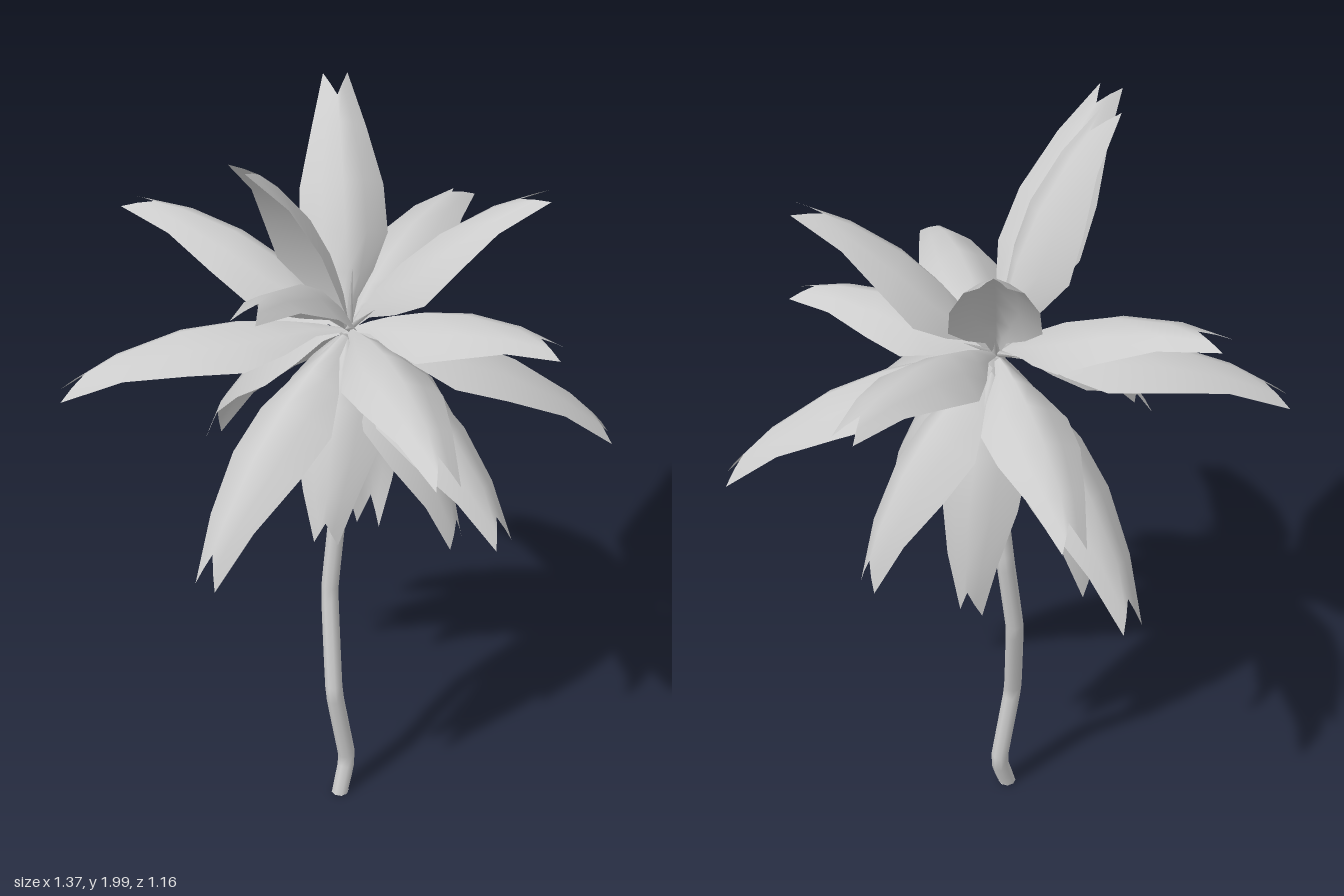
import * as THREE from 'three';

const material = new THREE.MeshStandardMaterial({ color: 0xcccccc, side: THREE.DoubleSide });
const CROWN = new THREE.Vector3(0.02, 1.44, -0.06);
const UP = new THREE.Vector3(0, 1, 0);

// tip position of every frond, from the steepest upright ones to the hanging ones
const FROND_TIPS = [
  [-0.26, 2.0, 0.11], [0.06, 1.92, -0.485], [-0.31, 1.84, 0.505], [0.48, 1.82, 0.03],
  [-0.475, 1.67, -0.39], [0.4, 1.55, -0.515], [0.495, 1.48, 0.195], [0.137, 1.4, 0.585],
  [-0.69, 1.3, -0.11], [-0.12, 1.24, -0.575], [0.69, 1.08, -0.02], [0.34, 1.03, 0.33],
  [-0.4, 0.99, 0.32], [-0.08, 0.97, 0.175], [0.265, 0.91, 0.145], [0.36, 0.9, -0.255],
  [-0.28, 0.9, -0.47], [-0.205, 0.83, -0.235], [0.1, 0.75, -0.205],
];

// half width along the frond: [position, half width]
const OUTLINE = [
  [0, 0.006], [0.1, 0.025], [0.2, 0.068], [0.35, 0.108],
  [0.55, 0.102], [0.78, 0.067], [1, 0.03],
];

// arched blade lofted along a bent midrib, ending in two prongs
function frondGeometry(tip) {
  const chord = tip.clone().sub(CROWN);
  const length = chord.length();
  const side = new THREE.Vector3(chord.z, 0, -chord.x).normalize();
  const bow = new THREE.Vector3().crossVectors(chord, side).normalize();
  const rise = chord.y / length;
  const bend = length * (0.27 - 0.06 * Math.abs(rise));
  const control = CROWN.clone().addScaledVector(chord, 0.5).addScaledVector(bow, bend);
  const midrib = new THREE.QuadraticBezierCurve3(CROWN, control, tip);

  const columns = [-1, -0.5, 0, 0.5, 1];
  const n = columns.length;
  const positions = [];
  const index = [];
  OUTLINE.forEach(([t, half], row) => {
    for (const u of columns) {
      // the middle of the last row is pulled back to form the notch
      const notch = row === OUTLINE.length - 1 ? 0.11 * (1 - Math.abs(u)) : 0;
      const s = t - notch;
      const normal = new THREE.Vector3().crossVectors(midrib.getTangent(s), side).normalize();
      const drop = half * (0.9 - 0.5 * t) * Math.pow(Math.abs(u), 1.4);
      const p = midrib.getPoint(s)
        .addScaledVector(side, u * half)
        .addScaledVector(normal, -drop);
      positions.push(p.x, p.y, p.z);
    }
  });
  for (let r = 0; r < OUTLINE.length - 1; r++) {
    for (let c = 0; c < n - 1; c++) {
      const a = r * n + c;
      index.push(a, a + n, a + 1, a + 1, a + n, a + n + 1);
    }
  }
  const geometry = new THREE.BufferGeometry();
  geometry.setAttribute('position', new THREE.Float32BufferAttribute(positions, 3));
  geometry.setIndex(index);
  geometry.computeVertexNormals();
  return geometry;
}

function addMesh(parent, name, geometry) {
  const mesh = new THREE.Mesh(geometry, material);
  mesh.name = name;
  parent.add(mesh);
  return mesh;
}

export function createModel() {
  const palm = new THREE.Group();
  palm.name = 'palmTree';

  // slender crooked trunk, its lowest ring levelled with the ground
  const path = new THREE.CatmullRomCurve3([
    [-0.01, 0, -0.02], [0.013, 0.1, -0.042], [-0.024, 0.34, -0.028], [-0.022, 0.62, -0.105],
    [0.003, 0.85, -0.125], [0.035, 1.2, -0.085], [0.02, 1.44, -0.06],
  ].map((p) => new THREE.Vector3(...p)), false, 'catmullrom', 0.1);
  const trunk = new THREE.TubeGeometry(path, 36, 0.023, 8);
  const pos = trunk.attributes.position;
  for (let i = 0; i < 9; i++) pos.setY(i, 0);
  addMesh(palm, 'trunk', trunk);
  const foot = addMesh(palm, 'trunkBase', new THREE.CircleGeometry(0.023, 8).rotateX(Math.PI / 2));
  foot.position.set(-0.01, 0, -0.02);

  // crown of fronds
  const crown = new THREE.Group();
  crown.name = 'crown';
  palm.add(crown);
  for (const tip of FROND_TIPS) {
    addMesh(crown, 'frond', frondGeometry(new THREE.Vector3(...tip)));
  }

  // young shoots at the heart of the crown
  const shoots = new THREE.Group();
  shoots.name = 'shoots';
  palm.add(shoots);
  for (let i = 0; i < 8; i++) {
    const angle = i * 2.4;
    const lean = i === 0 ? 0.05 : 0.5 + 0.09 * i;
    const height = i === 0 ? 0.17 : 0.12;
    const shoot = addMesh(shoots, 'shoot',
      new THREE.ConeGeometry(0.01, height, 4).translate(0, height / 2, 0));
    const direction = new THREE.Vector3(
      Math.sin(lean) * Math.cos(angle), Math.cos(lean), Math.sin(lean) * Math.sin(angle));
    shoot.quaternion.setFromUnitVectors(UP, direction);
    shoot.position.copy(CROWN);
  }
  return palm;
}
